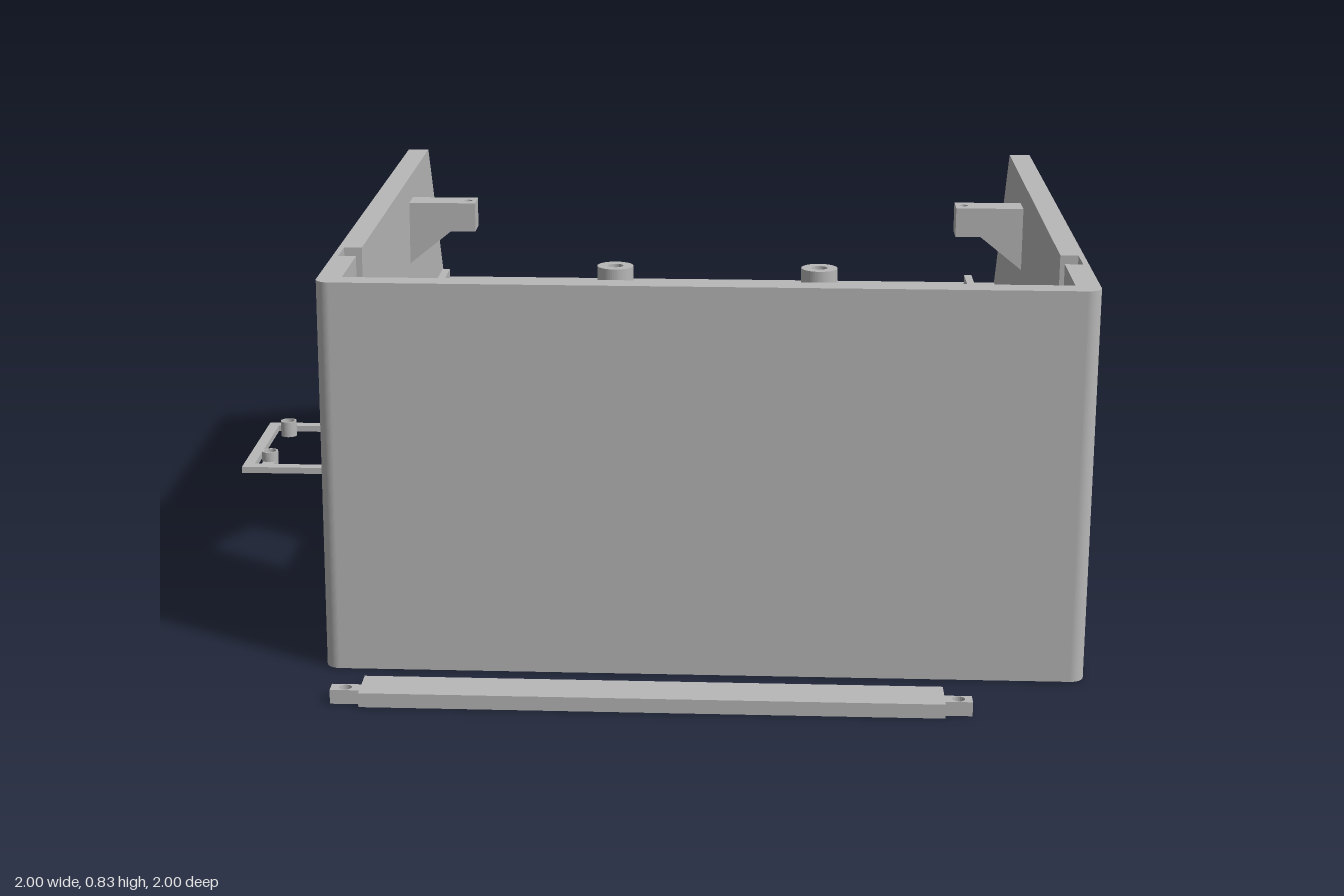
import * as THREE from 'three';

const grey = new THREE.MeshStandardMaterial({ color: 0xb8b8b8 });
grey.name = 'grey plastic';

// Closed outline with corners rounded by radius r (0 keeps them sharp)
function outline(points, r = 0, Type = THREE.Shape) {
  const s = new Type();
  const pts = points.map(p => new THREE.Vector2(...p));
  pts.forEach((p, i) => {
    const prev = pts[(i + pts.length - 1) % pts.length], next = pts[(i + 1) % pts.length];
    const a = p.clone().add(prev.clone().sub(p).setLength(r));
    const b = p.clone().add(next.clone().sub(p).setLength(r));
    if (i === 0) s.moveTo(a.x, a.y); else s.lineTo(a.x, a.y);
    if (r > 0) s.quadraticCurveTo(p.x, p.y, b.x, b.y);
  });
  s.closePath();
  return s;
}
const rect = (x0, y0, x1, y1, r = 0, Type = THREE.Shape) =>
  outline([[x0, y0], [x1, y0], [x1, y1], [x0, y1]], r, Type);
function ellipse(x, y, rx, ry = rx) {
  const p = new THREE.Path();
  p.absellipse(x, y, rx, ry, 0, Math.PI * 2, false);
  return p;
}
function extrude(shape, depth, holes = []) {
  shape.holes.push(...holes);
  return new THREE.ExtrudeGeometry(shape, { depth, bevelEnabled: false, curveSegments: 10 });
}
// Plan outline (x, z) raised from y0 to y1
const slab = (shape, y0, y1, holes) =>
  extrude(shape, y1 - y0, holes).rotateX(Math.PI / 2).translate(0, y1, 0);
// Side outline (z, y) filling x0 to x1
const sideways = (shape, x0, x1, holes) =>
  extrude(shape, x1 - x0, holes).rotateY(-Math.PI / 2).translate(x1, 0, 0);
// Move vertices by a rule
function bend(geo, rule) {
  const p = geo.attributes.position, v = new THREE.Vector3();
  for (let i = 0; i < p.count; i++) {
    v.fromBufferAttribute(p, i);
    rule(v);
    p.setXYZ(i, v.x, v.y, v.z);
  }
  geo.computeVertexNormals();
  return geo;
}
function tube(x, z, y0, y1, outer, inner) {
  const ring = new THREE.Shape();
  ring.absarc(x, z, outer, 0, Math.PI * 2, false);
  ring.holes.push(ellipse(x, z, inner));
  return new THREE.ExtrudeGeometry(ring, { depth: y1 - y0, bevelEnabled: false, curveSegments: 24 })
    .rotateX(Math.PI / 2).translate(0, y1, 0);
}

const L = -0.58, R = 1.0, T = 0.05, H = 0.83, FRONT = 0.785;
const SLOPE = 0.674, BACK = -0.71;

export function createModel() {
  const model = new THREE.Group();
  model.name = 'enclosure kit';
  const box = new THREE.Group(), clip = new THREE.Group(), bar = new THREE.Group();
  box.name = 'enclosure';
  clip.name = 'mountingFrame';
  bar.name = 'retainingBar';
  model.add(box, clip, bar);
  const add = (group, name, geo) => {
    const m = new THREE.Mesh(geo, grey);
    m.name = name;
    group.add(m);
  };

  // Floor with screw, button and slot openings
  add(box, 'floor', slab(rect(L + T, -0.69, R - T, FRONT - T), 0, T, [
    ellipse(-0.44, 0.68, 0.052), rect(-0.49, 0.58, -0.39, 0.6, 0, THREE.Path)]));

  // Front wall with rounded outer corners
  const f = new THREE.Shape(), r = 0.03;
  f.moveTo(L, FRONT - T);
  f.lineTo(R, FRONT - T);
  f.lineTo(R, FRONT - r);
  f.absarc(R - r, FRONT - r, r, 0, Math.PI / 2, false);
  f.lineTo(L + r, FRONT);
  f.absarc(L + r, FRONT - r, r, Math.PI / 2, Math.PI, false);
  f.closePath();
  add(box, 'frontWall', slab(f, 0, H));

  // Side walls: an outer skin, and an inner layer relieved around the corner post
  const back = [[-0.71, H], [-1, 0.43], [BACK, 0]], zf = FRONT - T;
  const windowHole = () => outline(
    [[0.328, 0.27], [0.07, 0.27], [0.07, 0.525], [0.27, 0.63], [0.328, 0.63]], 0.035, THREE.Path);
  const skin = 0.012;
  for (const side of [1, -1]) {
    const outer = side > 0 ? R : L;
    const mid = outer - side * skin, inner = outer - side * T;
    const span = (a, b) => [Math.min(a, b), Math.max(a, b)];
    add(box, 'sideWallSkin', sideways(outline([[zf, 0], [zf, H], ...back]), ...span(outer, mid), [windowHole()]));
    const notched = outline([[zf, 0], [zf, H], [0.542, H], [0.542, 0.738], [0.522, 0.738], [0.522, 0.02],
      [0.478, 0.02], [0.478, 0.738], [0.458, 0.738], [0.458, H], ...back]);
    add(box, 'sideWall', bend(sideways(notched, ...span(mid, inner), [windowHole()]), v => {
      // Taper the window towards the inside
      if (Math.abs(v.x - inner) < 1e-4 && v.z > 0.05 && v.z < 0.34 && v.y > 0.25 && v.y < 0.65) {
        v.z = 0.2 + (v.z - 0.2) * 0.9;
        v.y = 0.45 + (v.y - 0.45) * 0.93;
      }
    }));
    const postX = side > 0 ? 0.945 : -0.525;
    add(box, 'cornerPost', tube(postX, 0.5, 0.04, 0.74, 0.042, 0.022));

    // Lid brackets with sloping supports
    const tip = inner - side * 0.16;
    for (const z of [-0.355, 0.545]) {
      const [x0, x1] = span(tip, inner);
      add(box, 'lidBracket', slab(rect(x0, z - 0.035, x1, z + 0.035), 0.7, 0.77,
        [ellipse(tip + side * 0.02, z, 0.01)]));
      add(box, 'bracketSupport', extrude(
        outline([[tip + side * 0.06, 0.7], [inner, 0.7], [inner, 0.62]]), 0.07).translate(0, 0, z - 0.035));
    }

    // Small floor studs and front wall ribs
    const studX = side > 0 ? 0.825 : -0.405;
    add(box, 'floorStud', slab(rect(studX - 0.024, -0.31, studX + 0.024, -0.24), T, 0.16,
      [ellipse(studX, -0.288, 0.012)]));
    const ribX = side > 0 ? 0.745 : -0.332;
    add(box, 'frontRib', new THREE.BoxGeometry(0.015, 0.46, 0.13).translate(ribX, 0.59, 0.672));
  }

  // Leaning back panel in two layers, with a long slot and screw openings
  const screws = [-0.06, 0.48];
  const lean = v => { v.z -= SLOPE * v.y; };
  const slot = () => rect(-0.36, 0.105, 0.78, 0.145, 0.019, THREE.Path);
  add(box, 'backPanelOuter', bend(extrude(rect(L + T, 0, R - T, 0.43), 0.03,
    [slot(), ...screws.map(x => ellipse(x, 0.267, 0.04, 0.06))]).translate(0, 0, BACK), lean));
  add(box, 'backPanelInner', bend(extrude(rect(L + T, 0, R - T, 0.43), 0.025,
    [slot(), ...screws.map(x => ellipse(x, 0.33, 0.025, 0.05))]).translate(0, 0, BACK + 0.03), lean));

  // Upright screw posts cut to the panel's angle
  for (const x of screws) {
    add(box, 'backPost', bend(tube(x, -0.89, 0.2, 0.49, 0.048, 0.021), v => {
      if (v.y < 0.3) v.y = (BACK + 0.045 - v.z) / SLOPE;
    }));
  }

  // Slot surround on the inside of the back panel
  add(box, 'slotSurround', bend(extrude(rect(-0.37, T, 0.79, 0.16), 0.05,
    [rect(-0.355, 0.1, 0.775, 0.147, 0, THREE.Path)]).translate(0, 0, -0.74), v => {
    if (v.z < -0.72) v.z = BACK + 0.045 - SLOPE * v.y;
  }));

  // Floor fittings
  add(box, 'floorRib', new THREE.BoxGeometry(0.37, 0.06, 0.015).translate(0.21, 0.08, 0.527));
  add(box, 'buttonCollar', tube(-0.44, 0.68, T, 0.1, 0.066, 0.052));
  add(box, 'slotCollar', slab(rect(-0.505, 0.572, -0.37, 0.612), T, 0.1,
    [rect(-0.49, 0.58, -0.39, 0.6, 0, THREE.Path)]));

  // Separate frame: spine, two arms, screw rings and pegs
  add(clip, 'frame', slab(outline([[-1, -0.9], [-0.655, -0.9], [-0.655, -0.87], [-0.972, -0.87],
    [-0.972, -0.52], [-0.655, -0.52], [-0.655, -0.49], [-1, -0.49]]), 0.024, 0.04,
  [ellipse(-0.76, -0.885, 0.013), ellipse(-0.76, -0.505, 0.013)]));
  for (const s of [1, -1]) {
    const zc = -0.695;
    add(clip, 'screwRing', tube(-0.76, zc + s * 0.19, 0.006, 0.042, 0.031, 0.014));
    for (const x of [-0.938, -0.675]) {
      add(clip, 'peg', tube(x, zc + s * 0.14, 0.024, 0.065, 0.021, 0.016));
      add(clip, 'pegBridge', new THREE.BoxGeometry(0.032, 0.016, 0.025).translate(x, 0.032, zc + s * 0.168));
    }
  }

  // Separate bar with a drilled tab at each end
  add(bar, 'bar', new THREE.BoxGeometry(1.18, 0.03, 0.095).translate(0.11, 0.015, 0.9475));
  for (const [x0, x1] of [[-0.54, -0.48], [0.7, 0.755]]) {
    add(bar, 'barTab', slab(rect(x0, 0.947, x1, 0.98), 0, 0.03, [ellipse((x0 + x1) / 2, 0.9635, 0.013)]));
  }
  return model;
}
